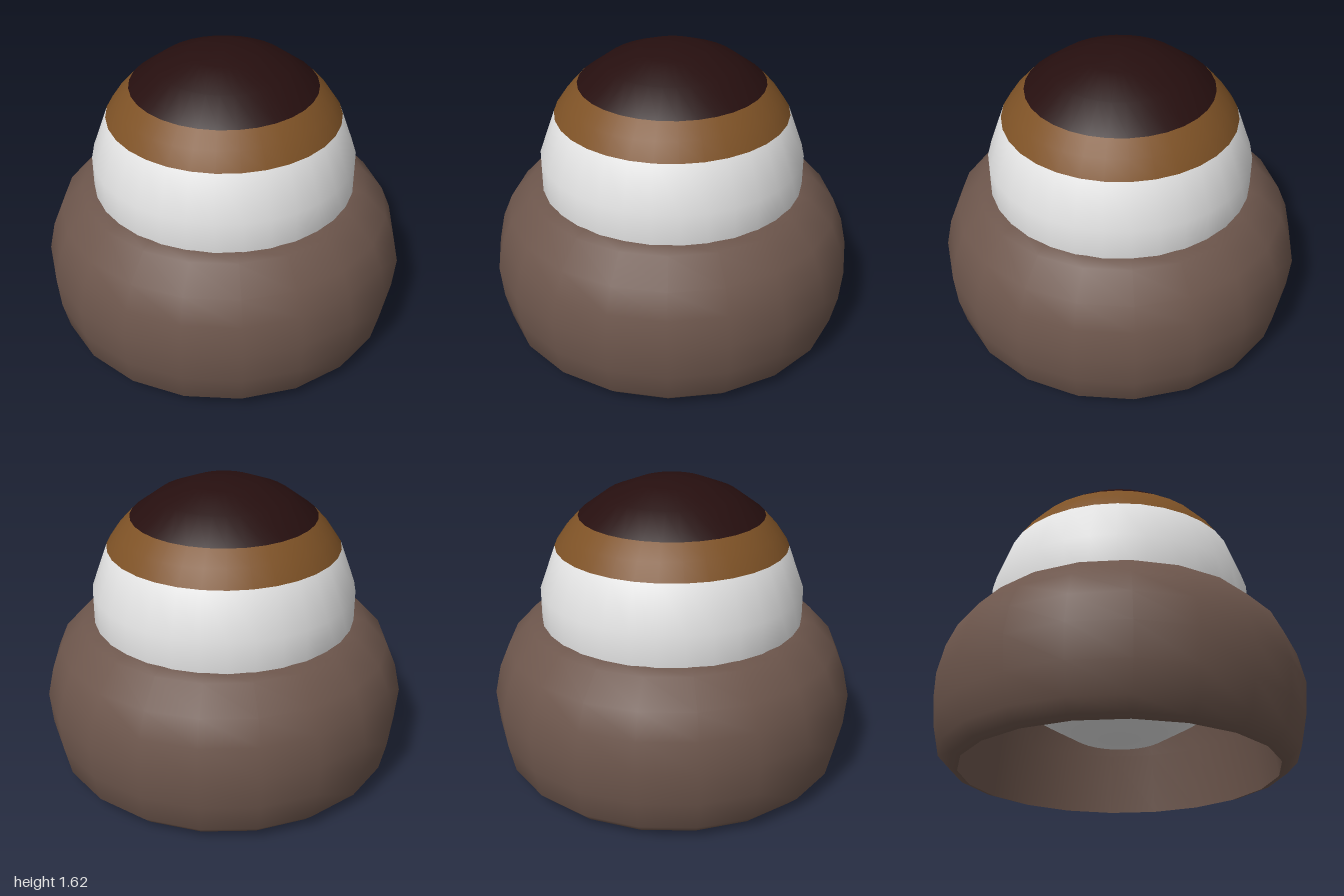
import * as THREE from 'three';

export function createModel() {
  const group = new THREE.Group();
  const mat = (name, color, side = THREE.FrontSide) => {
    const m = new THREE.MeshStandardMaterial({ color, side });
    m.name = name;
    return m;
  };
  const brown = mat('brown lid', 0x6d564c, THREE.DoubleSide);
  const white = mat('eye white', 0xe4e4e4);
  const amber = mat('amber iris', 0x7e5226);
  const dark = mat('dark pupil', 0x260f0f);

  const add = (name, geometry, material, y = 0) => {
    const mesh = new THREE.Mesh(geometry, material);
    mesh.name = name;
    mesh.position.y = y;
    group.add(mesh);
  };

  // Eyeball looking straight up, split into bands by polar angle
  const band = (from, to, rows) => new THREE.SphereGeometry(
    0.73, 32, rows, 0, Math.PI * 2,
    THREE.MathUtils.degToRad(from), THREE.MathUtils.degToRad(to - from));
  add('pupil', band(0, 43.5, 3), dark, 0.9);
  add('iris', band(43.5, 60, 1), amber, 0.9);
  add('eyeWhite', band(60, 180, 6), white, 0.9);

  // Rounded lid around the eyeball, hollow and open underneath
  const lathe = (profile) => new THREE.LatheGeometry(
    profile.map(([r, y]) => new THREE.Vector2(r, y)), 20);
  add('lidOuter', lathe([
    [0.845, 0.005], [0.89, 0.02], [0.95, 0.08], [0.985, 0.24], [1, 0.42],
    [0.965, 0.58], [0.91, 0.71], [0.79, 0.84], [0.71, 0.86],
  ]), brown);
  add('lidInner', lathe([
    [0.71, 0.86], [0.76, 0.68], [0.81, 0.35], [0.845, 0.005],
  ]), brown);

  return group;
}
